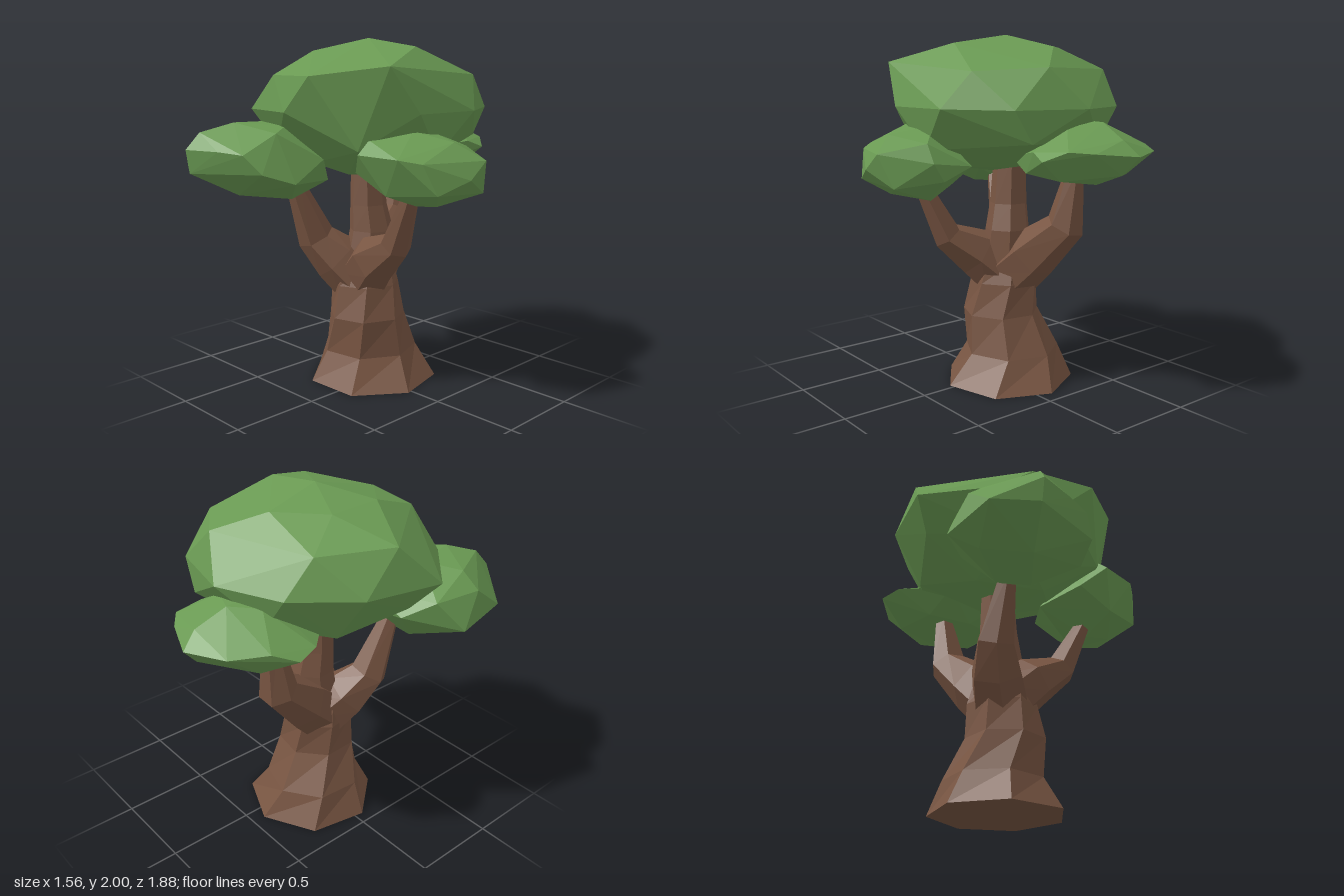
import * as THREE from 'three';
import { ConvexGeometry } from 'three/addons/geometries/ConvexGeometry.js';

const bark = new THREE.MeshStandardMaterial({ color: 0x785542 });
bark.name = 'bark brown';
const leaf = new THREE.MeshStandardMaterial({ color: 0x6a9a53 });
leaf.name = 'leaf green';

// Faceted tube through rings of [x, y, z, radius], capped at both ends.
// Rings tilt with the path unless level is true.
function limb(name, rings, sides, { level = false, start = 0, twist = 0 } = {}) {
  const up = new THREE.Vector3(0, 1, 0);
  const centres = rings.map(([x, y, z]) => new THREE.Vector3(x, y, z));
  const pos = [], index = [];
  rings.forEach(([, , , r], i) => {
    const a = centres[Math.max(i - 1, 0)], b = centres[Math.min(i + 1, rings.length - 1)];
    const q = new THREE.Quaternion();
    if (!level) q.setFromUnitVectors(up, b.clone().sub(a).normalize());
    for (let s = 0; s < sides; s++) {
      const t = start + i * twist - (s / sides) * Math.PI * 2;
      const p = new THREE.Vector3(Math.cos(t) * r, 0, Math.sin(t) * r);
      pos.push(...p.applyQuaternion(q).add(centres[i]).toArray());
    }
  });
  for (let i = 0; i < rings.length - 1; i++) {
    for (let s = 0; s < sides; s++) {
      const a = i * sides + s, b = i * sides + (s + 1) % sides;
      index.push(a, b, b + sides, a, b + sides, a + sides);
    }
  }
  const last = (rings.length - 1) * sides;
  for (let s = 1; s < sides - 1; s++) {
    index.push(0, s + 1, s, last, last + s, last + s + 1);
  }
  const geo = new THREE.BufferGeometry();
  geo.setAttribute('position', new THREE.Float32BufferAttribute(pos, 3));
  geo.setIndex(index);
  const flat = geo.toNonIndexed();
  flat.computeVertexNormals();
  const mesh = new THREE.Mesh(flat, bark);
  mesh.name = name;
  return mesh;
}

// Faceted leaf clump wrapped around a few corner points
function clump(name, points) {
  const mesh = new THREE.Mesh(new ConvexGeometry(points.map((p) => new THREE.Vector3(...p))), leaf);
  mesh.name = name;
  return mesh;
}

export function createModel() {
  const tree = new THREE.Group();
  tree.name = 'tree';

  // Flared seven-sided trunk
  tree.add(limb('trunk', [
    [-0.07, 0, -0.045, 0.38], [-0.095, 0.18, -0.045, 0.28], [-0.06, 0.4, 0.01, 0.225],
    [-0.08, 0.59, 0, 0.2], [-0.08, 0.72, 0, 0.165],
  ], 7, { level: true, start: 1.99, twist: -0.12 }));

  // Four limbs rising from the fork
  tree.add(limb('centreBranch', [
    [-0.075, 0.6, -0.01, 0.16], [-0.07, 0.9, -0.04, 0.13],
    [-0.085, 1.05, -0.03, 0.11], [-0.095, 1.32, -0.03, 0.095],
  ], 7, { level: true, start: 1.7 }));
  tree.add(limb('leftBranch', [
    [-0.06, 0.63, 0.02, 0.16], [0.08, 0.76, 0.07, 0.145], [0.265, 0.875, 0.1, 0.09], [0.42, 1.2, 0.14, 0.045],
  ], 6));
  tree.add(limb('backBranch', [
    [-0.09, 0.61, -0.02, 0.17], [-0.14, 0.76, -0.18, 0.155], [-0.2, 0.95, -0.39, 0.11], [-0.22, 1.28, -0.44, 0.05],
  ], 6));
  tree.add(limb('frontBranch', [
    [-0.11, 0.61, 0.03, 0.165], [-0.195, 0.73, 0.12, 0.15], [-0.27, 0.86, 0.22, 0.11], [-0.29, 1.2, 0.36, 0.05],
  ], 6));

  // Main crown
  tree.add(clump('crown', [
    [-0.07, 2, -0.02], [0.29, 1.95, -0.02], [-0.33, 1.93, 0.17], [-0.12, 1.93, -0.36], [-0.35, 1.93, -0.15],
    [0.13, 1.8, 0.6], [0.47, 1.85, 0.36], [-0.24, 1.8, 0.53], [-0.68, 1.83, -0.02],
    [-0.48, 1.81, -0.38], [0.1, 1.82, -0.57], [0.42, 1.8, -0.35],
    [-0.78, 1.61, 0.2], [-0.47, 1.61, 0.51], [-0.07, 1.61, 0.6], [0.53, 1.61, 0.2], [0.53, 1.61, -0.23],
    [0.33, 1.61, -0.58], [-0.08, 1.61, -0.68], [-0.44, 1.61, -0.53], [-0.69, 1.61, -0.23],
    [0.47, 1.38, 0], [0.3, 1.42, 0.42], [-0.66, 1.46, 0.1], [-0.35, 1.41, 0.42], [0.23, 1.44, -0.6], [-0.3, 1.42, -0.53],
    [0.22, 1.27, 0.06], [0.02, 1.24, 0], [0.04, 1.26, 0.24], [-0.13, 1.32, 0.35],
    [-0.33, 1.27, 0.1], [-0.5, 1.34, -0.24], [0, 1.28, -0.22],
  ]));

  // Front clump
  tree.add(clump('frontFoliage', [
    [-0.36, 1.55, 0.71], [-0.18, 1.53, 0.5], [-0.42, 1.54, 0.45], [-0.6, 1.51, 0.58], [-0.11, 1.5, 0.62],
    [-0.45, 1.5, 0.87], [-0.48, 1.41, 0.94], [-0.27, 1.41, 0.88], [-0.12, 1.4, 0.83], [-0.7, 1.42, 0.6],
    [-0.7, 1.28, 0.79], [-0.48, 1.28, 0.92], [-0.74, 1.23, 0.47], [-0.64, 1.4, 0.34], [-0.04, 1.3, 0.77],
    [0.02, 1.24, 0.6], [-0.02, 1.35, 0.37], [-0.25, 1.4, 0.21], [-0.5, 1.3, 0.22], [-0.1, 1.22, 0.27],
    [-0.4, 1.1, 0.4], [-0.2, 1.12, 0.45], [-0.36, 1.15, 0.69], [-0.6, 1.16, 0.55],
  ]));

  // Left clump
  tree.add(clump('leftFoliage', [
    [0.46, 1.52, 0.18], [0.42, 1.51, 0], [0.65, 1.47, 0.08], [0.34, 1.48, 0.38], [0.34, 1.41, 0.46],
    [0.25, 1.43, 0.2], [0.57, 1.4, 0.41], [0.66, 1.38, 0.33], [0.55, 1.43, -0.14], [0.78, 1.38, -0.02],
    [0.78, 1.29, 0.1], [0.71, 1.22, 0.27], [0.72, 1.2, -0.08], [0.55, 1.33, -0.2], [0.3, 1.3, -0.19],
    [0.48, 1.23, -0.19], [0.12, 1.24, 0.1], [0.22, 1.3, 0.36], [0.44, 1.2, 0.36],
    [0.6, 1.14, 0.15], [0.44, 1.12, 0.13], [0.46, 1.11, -0.03], [0.27, 1.17, 0.05],
  ]));

  // Back clump
  tree.add(clump('backFoliage', [
    [-0.18, 1.54, -0.68], [-0.3, 1.53, -0.55], [0, 1.52, -0.6], [-0.15, 1.55, -0.45], [-0.15, 1.46, -0.85],
    [-0.18, 1.38, -0.94], [0.04, 1.4, -0.85], [0.15, 1.41, -0.77], [0.24, 1.36, -0.68], [0.21, 1.4, -0.58],
    [-0.4, 1.39, -0.84], [-0.52, 1.41, -0.67], [-0.59, 1.36, -0.55], [-0.55, 1.38, -0.42],
    [-0.32, 1.36, -0.18], [0.03, 1.34, -0.19], [-0.15, 1.28, -0.85], [0.1, 1.25, -0.66], [-0.4, 1.25, -0.65],
    [-0.12, 1.22, -0.7], [-0.2, 1.21, -0.53], [-0.1, 1.24, -0.33], [-0.35, 1.25, -0.38], [0.12, 1.27, -0.42],
  ]));

  return tree;
}
